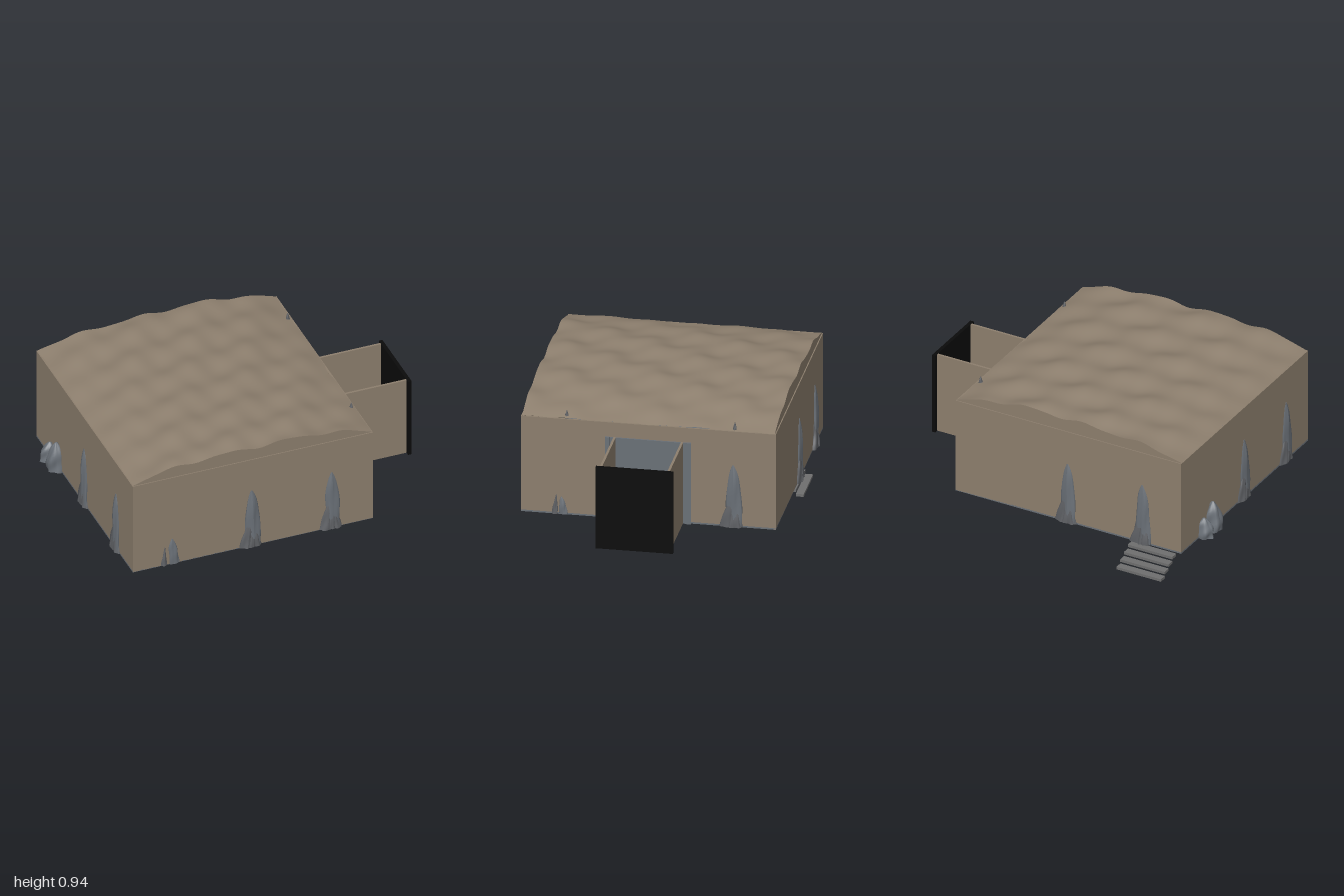
import * as THREE from 'three';

const mat = (name, color, side = THREE.FrontSide) => {
  const m = new THREE.MeshStandardMaterial({ color, side });
  m.name = name;
  return m;
};

export function createModel() {
  const root = new THREE.Group();
  const earth = mat('earth', 0x8c7e6d, THREE.DoubleSide);
  const rock = mat('rock', 0x6a7077);
  const darkRock = mat('dark rock', 0x5e6064);
  const stone = mat('step stone', 0x6e6e6e);
  const black = mat('black', 0x0a0a0a);

  const add = (name, geo, material, parent = root) => {
    const m = new THREE.Mesh(geo, material);
    m.name = name;
    parent.add(m);
    return m;
  };
  // Box given by its minimum and maximum corners
  const box = (name, a, b, material, parent = root) => {
    const m = add(name, new THREE.BoxGeometry(b[0] - a[0], b[1] - a[1], b[2] - a[2]), material, parent);
    m.position.set((a[0] + b[0]) / 2, (a[1] + b[1]) / 2, (a[2] + b[2]) / 2);
    return m;
  };

  // Chamber: floor slab and four walls
  const X0 = -0.93, X1 = 0.553, Z = 0.743, Y0 = 0.245, Y1 = 0.84, T = 0.012;
  box('floor', [X0, Y0, -Z], [X1, Y0 + 0.01, Z], rock);
  box('frontWall', [X0, Y0 + 0.002, Z - T], [X1, Y1, Z], earth);
  box('backWall', [X0, Y0 + 0.002, -Z], [X1, Y1, -Z + T], earth);
  box('leftWall', [X1 - T, Y0 + 0.002, -Z + T], [X1, Y1, Z - T], earth);
  box('rightWall', [X0, Y0 + 0.002, -Z + T], [X0 + T, Y1, Z - T], earth);

  // Rippled vault over the chamber
  const roofY = (x, z) => {
    const u = (x + 0.19) / 0.74;
    const fade = 1 - 0.7 * u ** 4;
    return 0.842 + 0.083 * (1 - Math.abs(u) ** 2.6) + fade * (
      0.010 * Math.sin(17 * x + 9 * z + 0.6) +
      0.007 * Math.sin(25 * z + 5 * x) +
      0.003 * Math.sin(31 * x - 13 * z));
  };
  const RX = (X1 - X0) / 2 - 0.005, RZ = Z - 0.006, CX = (X0 + X1) / 2;
  const roof = new THREE.PlaneGeometry(2 * RX, 2 * RZ, 72, 72);
  roof.rotateX(-Math.PI / 2).translate(CX, 0, 0);
  const rp = roof.attributes.position;
  for (let i = 0; i < rp.count; i++) rp.setY(i, roofY(rp.getX(i), rp.getZ(i)));
  roof.computeVertexNormals();
  add('roof', roof, earth);

  // Gables closing the vault down to the wall tops
  for (const s of [1, -1]) {
    const shape = new THREE.Shape();
    shape.moveTo(CX - RX, Y1 - 0.01);
    for (let i = 0; i <= 72; i++) {
      const x = CX - RX + (2 * RX * i) / 72;
      shape.lineTo(x, roofY(x, s * RZ));
    }
    shape.lineTo(CX + RX, Y1 - 0.01);
    add('roofGable', new THREE.ShapeGeometry(shape), earth).position.z = s * RZ;
  }

  // Entrance passage, open at the top
  const passage = new THREE.Group();
  passage.name = 'passage';
  root.add(passage);
  box('passageFloor', [X1, Y0, -0.2], [0.98, Y0 + 0.008, 0.2], rock, passage);
  box('passageGround', [X1, Y0 + 0.008, -0.19], [0.98, Y0 + 0.016, 0.19], earth, passage);
  for (const s of [1, -1]) {
    box('passageWall', [X1, Y0 + 0.002, s * 0.197 - 0.007], [0.98, 0.75, s * 0.197 + 0.007], earth, passage);
    box('doorPost', [X1, Y0, s * 0.238 - 0.012], [X1 + 0.014, 0.752, s * 0.238 + 0.012], rock, passage);
  }
  box('innerDoorway', [X1, Y0, -0.228], [X1 + 0.009, 0.75, 0.228], rock, passage);
  box('outerDoor', [0.978, Y0, -0.226], [1.0, 0.752, 0.226], black, passage);

  // Bare rock patches on the passage ground: x, z, half length, half width
  [[0.58, -0.14, 0.02, 0.05], [0.67, -0.08, 0.045, 0.015], [0.94, -0.16, 0.04, 0.014],
    [0.9, -0.03, 0.03, 0.014], [0.92, 0.07, 0.07, 0.025], [0.95, 0.01, 0.025, 0.03],
    [0.58, 0.02, 0.02, 0.03], [0.58, 0.15, 0.02, 0.03]].forEach(([x, z, a, b], i) => {
    const g = new THREE.CircleGeometry(1, 14).rotateX(-Math.PI / 2).scale(a, 1, b);
    const p = add('rockPatch', g, rock, passage);
    p.position.set(x, Y0 + 0.0175, z);
    p.rotation.y = (i % 3 - 1) * 0.12;
  });

  // Craggy spire: a column narrowed and leaned along its height
  const spire = (w, h, d, lean, seed, taper) => {
    const g = new THREE.CylinderGeometry(1, 1, 1, 18, 12);
    const p = g.attributes.position;
    for (let i = 0; i < p.count; i++) {
      const t = p.getY(i) + 0.5, a = Math.atan2(p.getZ(i), p.getX(i));
      const r = Math.hypot(p.getX(i), p.getZ(i)) * (1 - t ** taper * 0.9) *
        (1 + 0.12 * Math.sin(5 * a + seed + 3 * t) + 0.08 * Math.sin(9 * t + seed + 2 * a));
      p.setXYZ(i, Math.cos(a) * r * w / 2 + lean * t, t * h, Math.sin(a) * r * d);
    }
    g.computeVertexNormals();
    return g;
  };
  // Outcrop at a wall; each part is [offset, width, height, depth, lean, taper, material]
  const tall = [[0.015, 0.085, 0.38, 0.019, -0.012, 5, rock], [-0.03, 0.085, 0.22, 0.024, 0.03, 1.3, darkRock],
    [0.03, 0.06, 0.17, 0.026, -0.02, 1.3, darkRock], [0, 0.05, 0.2, 0.027, 0.005, 1.2, darkRock]];
  const small = [[-0.04, 0.035, 0.12, 0.014, 0.008, 1.2, darkRock], [0.025, 0.06, 0.17, 0.014, -0.012, 3.5, rock]];
  const low = [[-0.025, 0.035, 0.12, 0.014, 0.008, 1.2, darkRock], [0.025, 0.045, 0.105, 0.012, -0.012, 3, rock]];
  const outcrop = (name, x, z, turn, parts) => {
    const grp = new THREE.Group();
    grp.name = name;
    grp.position.set(x, Y0 + 0.003, z);
    grp.rotation.y = turn;
    parts.forEach(([o, w, h, d, lean, taper, m], i) => {
      add('crag', spire(w, h, d, lean, i * 1.7 + x * 9, taper), m, grp).position.x = o;
    });
    root.add(grp);
  };
  const Q = Math.PI / 2;
  outcrop('frontOutcrop', -0.2, Z, 0, tall);
  outcrop('frontOutcrop', 0.295, Z, 0, tall);
  outcrop('frontOutcrop', -0.7, Z, 0, small);
  outcrop('backOutcrop', -0.18, -Z, 2 * Q, tall);
  outcrop('backOutcrop', -0.67, -Z, 2 * Q, tall);
  outcrop('leftOutcrop', X1, -0.49, Q, tall);
  outcrop('leftOutcrop', X1, 0.52, Q, low);
  outcrop('rightOutcrop', X0, -0.01, -Q, tall);
  outcrop('rightOutcrop', X0, 0.48, -Q, tall);

  // Boulders leaning on the right wall: z, height, width
  [[-0.5, 0.12, 0.085], [-0.4, 0.18, 0.1]].forEach(([z, h, w], i) => {
    const b = add('boulder', spire(w, h, 0.055, 0, i * 2, 3.2), rock);
    b.position.set(-0.945, Y0, z);
    b.rotation.y = -Q;
  });

  // Little stubs poking through the roof edge
  for (const z of [-0.5, 0.48]) {
    add('roofStub', spire(0.025, 0.05, 0.012, 0, z, 1.5), darkRock).position.set(0.525, 0.835, z);
  }

  // Floating steps below the floor, descending to the back
  for (let i = 0; i < 9; i++) {
    const y = 0.225 - i * 0.0269, z = -0.335 - i * 0.0443;
    box('step', [-0.78, y - 0.008, z - 0.023], [-0.487, y + 0.008, z + 0.023], stone);
  }

  return root;
}
